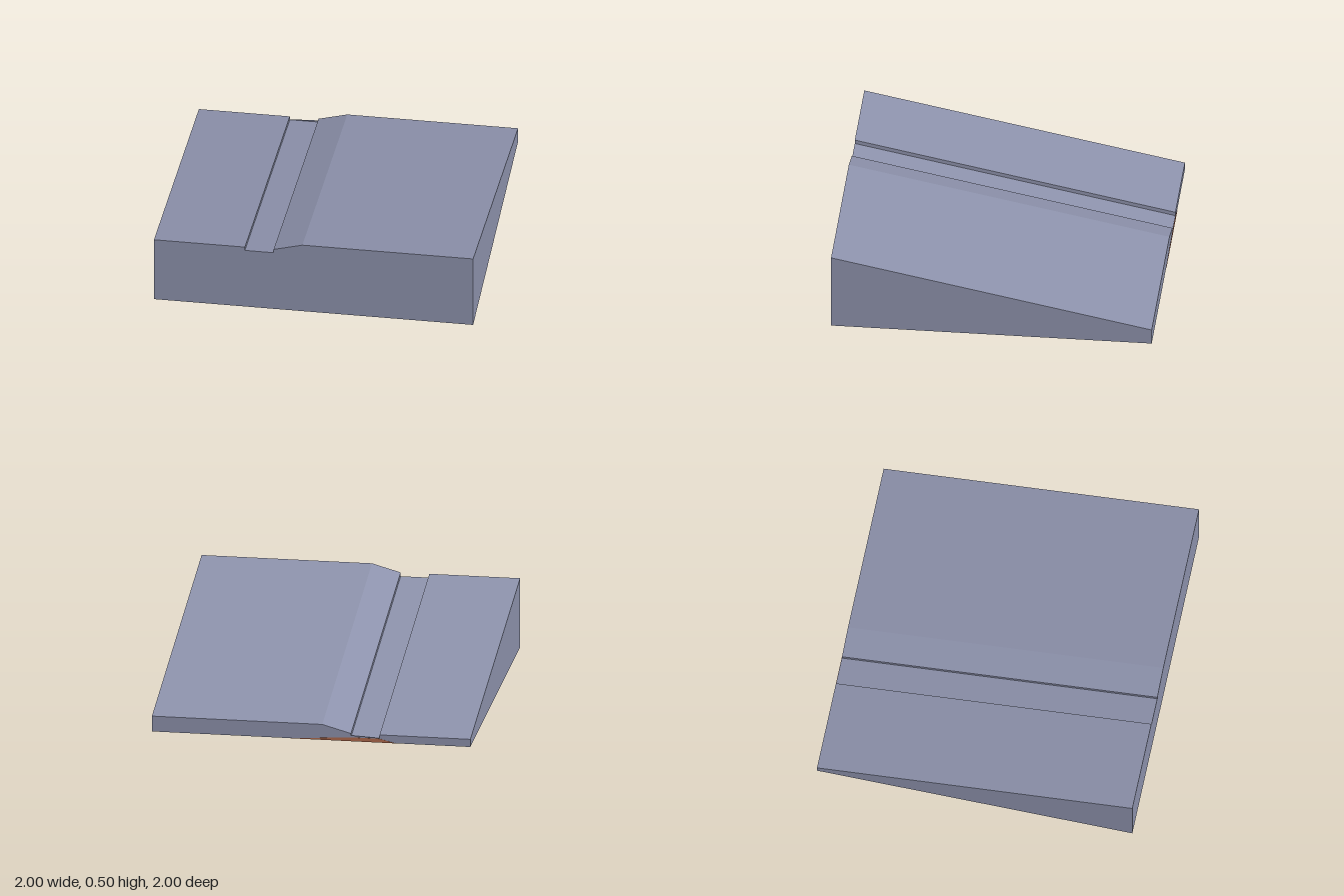
import * as THREE from 'three';

// Extrude an x-y outline between two z planes
function slab(points, z0, z1) {
  const shape = new THREE.Shape(points.map(([x, y]) => new THREE.Vector2(x, y)));
  const geometry = new THREE.ExtrudeGeometry(shape, { depth: z1 - z0, bevelEnabled: false });
  return geometry.translate(0, 0, z0);
}

export function createModel() {
  const group = new THREE.Group();
  group.name = 'slopedRoof';

  const slate = new THREE.MeshStandardMaterial({ color: 0x8e93ad });
  slate.name = 'slate';
  const brown = new THREE.MeshStandardMaterial({ color: 0xb06a4c });
  brown.name = 'brown';

  // Wedge with a stepped groove; the top drops 0.4 toward the back
  const wedge = slab([
    [-1, 0], [1, 0], [1, 0.5], [-0.07, 0.5], [-0.25, 0.45],
    [-0.25, 0.425], [-0.43, 0.425], [-0.43, 0.45], [-1, 0.45],
  ], -1, 1);
  const p = wedge.attributes.position;
  for (let i = 0; i < p.count; i++) {
    if (p.getY(i) > 0.01) p.setY(i, p.getY(i) - 0.2 * (1 - p.getZ(i)));
  }
  wedge.computeVertexNormals();
  const roof = new THREE.Mesh(wedge, slate);
  roof.name = 'roofWedge';
  group.add(roof);

  // Thin patch on the back edge under the groove
  const patch = new THREE.Mesh(
    slab([[-0.53, 0], [0.13, 0], [-0.25, 0.025], [-0.43, 0.025]], -1.002, -0.999), brown);
  patch.name = 'backPatch';
  group.add(patch);

  return group;
}
